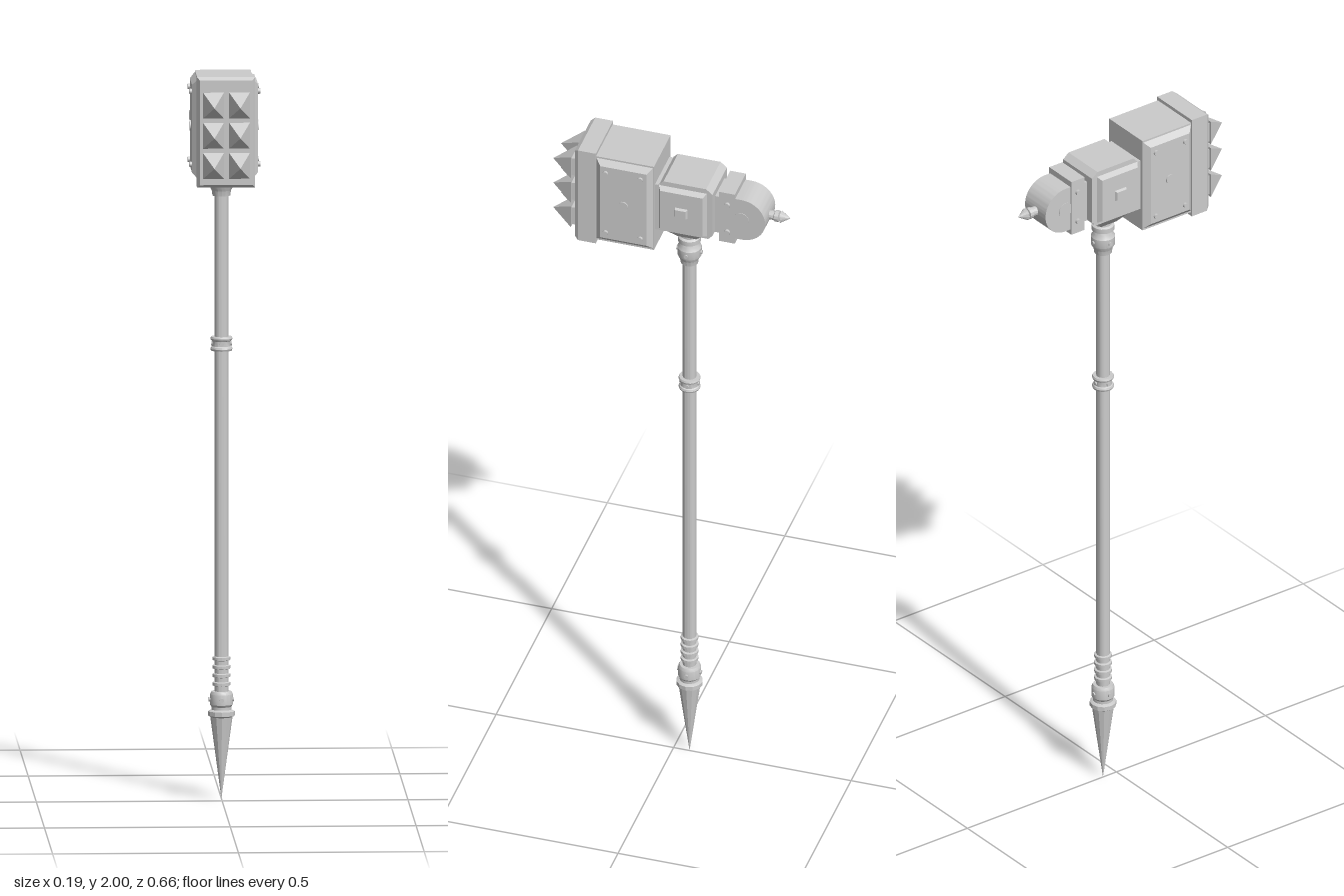
import * as THREE from 'three';
import { toCreasedNormals } from 'three/addons/utils/BufferGeometryUtils.js';

const SHAFT_Z = -0.045, AXIS_Y = 1.845;

export function createModel() {
  const group = new THREE.Group();
  const mat = new THREE.MeshStandardMaterial({ color: 0xcccccc });

  const add = (name, geo) => {
    const mesh = new THREE.Mesh(geo, mat);
    mesh.name = name;
    group.add(mesh);
    return mesh;
  };

  // Box between two corners; the face at the `side` end of `axis` can be inset to bevel or taper it
  const block = (name, a, b, axis, side, inset = [0, 0, 0]) => {
    const lo = new THREE.Vector3(...a), hi = new THREE.Vector3(...b);
    const size = hi.clone().sub(lo), mid = lo.clone().add(hi).multiplyScalar(0.5);
    let geo = new THREE.BoxGeometry(size.x, size.y, size.z);
    if (axis !== undefined) {
      const p = geo.attributes.position;
      for (let i = 0; i < p.count; i++) {
        if (Math.sign(p.getComponent(i, axis)) !== side) continue;
        for (let k = 0; k < 3; k++) {
          const v = p.getComponent(i, k);
          if (k !== axis) p.setComponent(i, k, v - Math.sign(v) * inset[k]);
        }
      }
      geo = geo.toNonIndexed();
      geo.computeVertexNormals();
    }
    geo.translate(mid.x, mid.y, mid.z);
    return add(name, geo);
  };

  // Lathed part around the shaft; points are [radius, y], bottom to top
  const turned = (name, pts, sides = 16) => {
    const geo = new THREE.LatheGeometry(pts.map(([r, y]) => new THREE.Vector2(r, y)), sides);
    return add(name, toCreasedNormals(geo, 0.5).translate(0, 0, SHAFT_Z));
  };

  // Short cylinder lying along x
  const stud = (name, x, y, z, r, len, sides = 12) =>
    add(name, new THREE.CylinderGeometry(r, r, len, sides).rotateZ(Math.PI / 2).translate(x, y, z));

  // Side profile drawn in (z, y), extruded across x
  const slab = (name, shape, width) => {
    const geo = new THREE.ExtrudeGeometry(shape, { depth: width, bevelEnabled: false, curveSegments: 24 });
    geo.translate(0, 0, -width / 2).rotateY(-Math.PI / 2);
    return add(name, toCreasedNormals(geo, 0.4));
  };

  // Shaft with its foot spike, ring grips and collars
  turned('shaft', [[0.0185, 0.24], [0.0185, 1.74]]);
  turned('footSpike', [[0, 0], [0.03, 0.222], [0.036, 0.226], [0.036, 0.238], [0.026, 0.243], [0.018, 0.243]], 12);
  turned('footCollar', [[0.018, 0.24], [0.027, 0.24], [0.027, 0.25], [0.031, 0.256], [0.031, 0.284], [0.027, 0.292], [0.018, 0.292]]);
  for (let i = 0; i < 4; i++) {
    const y = 0.312 + i * 0.023;
    turned('gripRing', [[0.018, y - 0.006], [0.024, y - 0.004], [0.024, y + 0.004], [0.018, y + 0.006]]);
  }
  turned('middleCollar', [[0.018, 1.217], [0.028, 1.217], [0.03, 1.222], [0.028, 1.227], [0.025, 1.229],
    [0.025, 1.243], [0.028, 1.245], [0.03, 1.25], [0.028, 1.255], [0.018, 1.255]]);
  turned('neckCollar', [[0.018, 1.638], [0.024, 1.638], [0.026, 1.652], [0.033, 1.665], [0.033, 1.69],
    [0.027, 1.7], [0.025, 1.708], [0.031, 1.71], [0.031, 1.724], [0.025, 1.728], [0.025, 1.75]]);
  for (const [y, r] of [[0.27, 0.031], [1.236, 0.025], [1.677, 0.033]]) {
    for (let i = 0; i < 4; i++) {
      const geo = new THREE.CylinderGeometry(0.006, 0.006, 0.006, 8).rotateX(Math.PI / 2)
        .translate(0, 0, r).rotateY(i * Math.PI / 2).translate(0, y, SHAFT_Z);
      add('collarStud', geo);
    }
  }

  // Central housing over the shaft
  const housing = new THREE.Shape([[0.02, 1.775], [0.02, 1.928], [0.008, 1.94], [-0.112, 1.94],
    [-0.13, 1.925], [-0.13, 1.788], [-0.118, 1.775]].map(p => new THREE.Vector2(...p)));
  slab('housing', housing, 0.13);
  block('housingTaper', [-0.06, 1.735, -0.105], [0.06, 1.777, 0.015], 1, -1, [0.035, 0, 0.034]);
  block('frontCoupling', [-0.065, 1.775, 0.015], [0.065, 1.925, 0.036]);

  // Hammer block, striking plate and rows of spikes
  block('hammerBlock', [-0.075, 1.712, 0.032], [0.075, 1.99, 0.197]);
  block('strikePlate', [-0.078, 1.7, 0.195], [0.078, 2, 0.245]);
  block('strikePlateBevel', [-0.078, 1.7, 0.245], [0.078, 2, 0.256], 2, 1, [0.007, 0.008, 0]);
  for (const x of [-0.035, 0.035]) {
    for (const y of [1.762, 1.844, 1.926]) {
      block('spikeBase', [x - 0.022, y - 0.028, 0.25], [x + 0.022, y + 0.028, 0.271]);
      block('strikeSpike', [x - 0.028, y - 0.035, 0.27], [x + 0.028, y + 0.035, 0.328], 2, 1, [0.0279, 0.0349, 0]);
    }
  }

  // Side plates with bolts and bosses, mirrored left and right
  for (const s of [-1, 1]) {
    const span = (x0, x1) => (s > 0 ? [x0, x1] : [-x1, -x0]);
    const side = (name, x0, x1, y, z, inset) => {
      const [a, b] = span(x0, x1);
      block(name, [a, y[0], z[0]], [b, y[1], z[1]], 0, s, inset);
    };
    side('hammerSidePlate', 0.074, 0.089, [1.716, 1.986], [0.033, 0.195], [0, 0.016, 0.016]);
    for (const y of [1.752, 1.95]) {
      for (const z of [0.066, 0.164]) stud('plateBolt', s * 0.09, y, z, 0.0075, 0.011);
    }
    stud('plateBoss', s * 0.089, 1.851, 0.114, 0.014, 0.007, 20);
    side('housingSidePlate', 0.064, 0.079, [1.782, 1.926], [-0.115, 0.022], [0, 0.009, 0.009]);
    side('housingBoss', 0.078, 0.086, [1.839, 1.871], [-0.065, -0.026], [0, 0.004, 0.004]);
    for (const y of [1.8, 1.89]) stud('rearBolt', s * 0.052, y, -0.167, 0.008, 0.011);
    stud('lugPin', s * 0.046, AXIS_Y, -0.205, 0.022, 0.003, 24);
  }

  // Rear bracket and half-round lug
  block('rearCoupling', [-0.042, 1.785, -0.147], [0.042, 1.905, -0.128]);
  block('rearBracket', [-0.05, 1.764, -0.188], [0.05, 1.928, -0.144]);
  const lug = new THREE.Shape();
  lug.moveTo(-0.18, AXIS_Y - 0.066);
  lug.lineTo(-0.18, AXIS_Y + 0.066);
  lug.lineTo(-0.206, AXIS_Y + 0.066);
  lug.absarc(-0.206, AXIS_Y, 0.066, Math.PI / 2, Math.PI * 1.5, false);
  slab('rearLug', lug, 0.092);

  // Small spike at the back, turned around the z axis
  const rear = [[0.013, 0.265], [0.013, 0.285], [0.016, 0.287], [0.016, 0.298], [0.009, 0.3],
    [0.009, 0.303], [0.017, 0.303], [0, 0.33]].map(p => new THREE.Vector2(...p));
  add('rearSpike', toCreasedNormals(new THREE.LatheGeometry(rear, 12), 0.5)
    .rotateX(-Math.PI / 2).translate(0, AXIS_Y, 0));

  return group;
}
